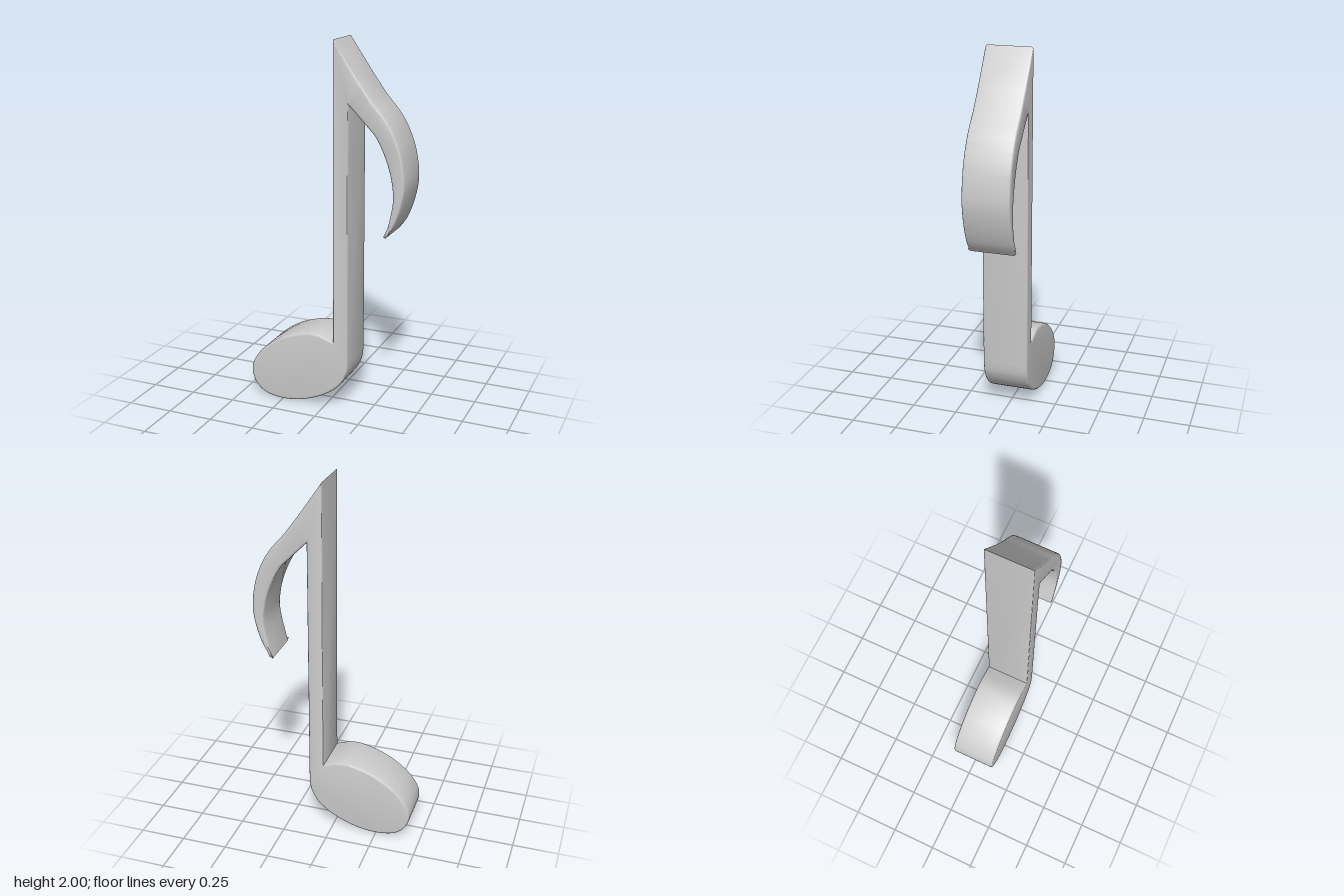
import * as THREE from 'three';
import { toCreasedNormals } from 'three/addons/utils/BufferGeometryUtils.js';

const DEPTH = 0.25;
const BEVEL = 0.012;

// Turns flat x, y pairs into points for a smooth curve
const points = (...v) =>
  Array.from({ length: v.length / 2 }, (_, i) => new THREE.Vector2(v[2 * i], v[2 * i + 1]));

function noteOutline() {
  const s = new THREE.Shape();
  // left edge of the stem
  s.moveTo(0.05, 2);
  s.lineTo(0.05, 0.395);
  // tilted oval head
  s.splineThru(points(
    -0.05, 0.424, -0.15, 0.41, -0.26, 0.367, -0.36, 0.295, -0.42, 0.22, -0.44, 0.15,
    -0.418, 0.075, -0.355, 0.022, -0.25, 0.004, -0.13, 0.02, -0.01, 0.068,
    0.08, 0.135, 0.125, 0.21, 0.137, 0.28));
  // right edge of the stem
  s.lineTo(0.133, 1.68);
  // inner edge of the flag
  s.splineThru(points(0.22, 1.592, 0.285, 1.52, 0.34, 1.405, 0.37, 1.29, 0.373, 1.18, 0.335, 1.005));
  // outer edge of the flag
  s.splineThru(points(
    0.38, 1.07, 0.42, 1.18, 0.437, 1.3, 0.417, 1.44, 0.375, 1.55,
    0.325, 1.63, 0.26, 1.705, 0.185, 1.805));
  s.lineTo(0.05, 2);
  return s;
}

export function createModel() {
  const group = new THREE.Group();
  group.name = 'musicNote';

  // One solid slab with softly rounded front and back rims
  const slab = new THREE.ExtrudeGeometry(noteOutline(), {
    depth: DEPTH - 2 * BEVEL,
    curveSegments: 6,
    bevelEnabled: true,
    bevelThickness: BEVEL,
    bevelSize: BEVEL,
    bevelOffset: -BEVEL,
    bevelSegments: 3,
  });
  slab.translate(0, 0, BEVEL - DEPTH / 2);

  const note = new THREE.Mesh(
    toCreasedNormals(slab, 0.7),
    new THREE.MeshStandardMaterial({ color: 0xcccccc }));
  note.name = 'noteBody';
  group.add(note);

  // Stand on the ground, centred
  const box = new THREE.Box3().setFromObject(note);
  const c = box.getCenter(new THREE.Vector3());
  note.position.set(-c.x, -box.min.y, -c.z);
  return group;
}
